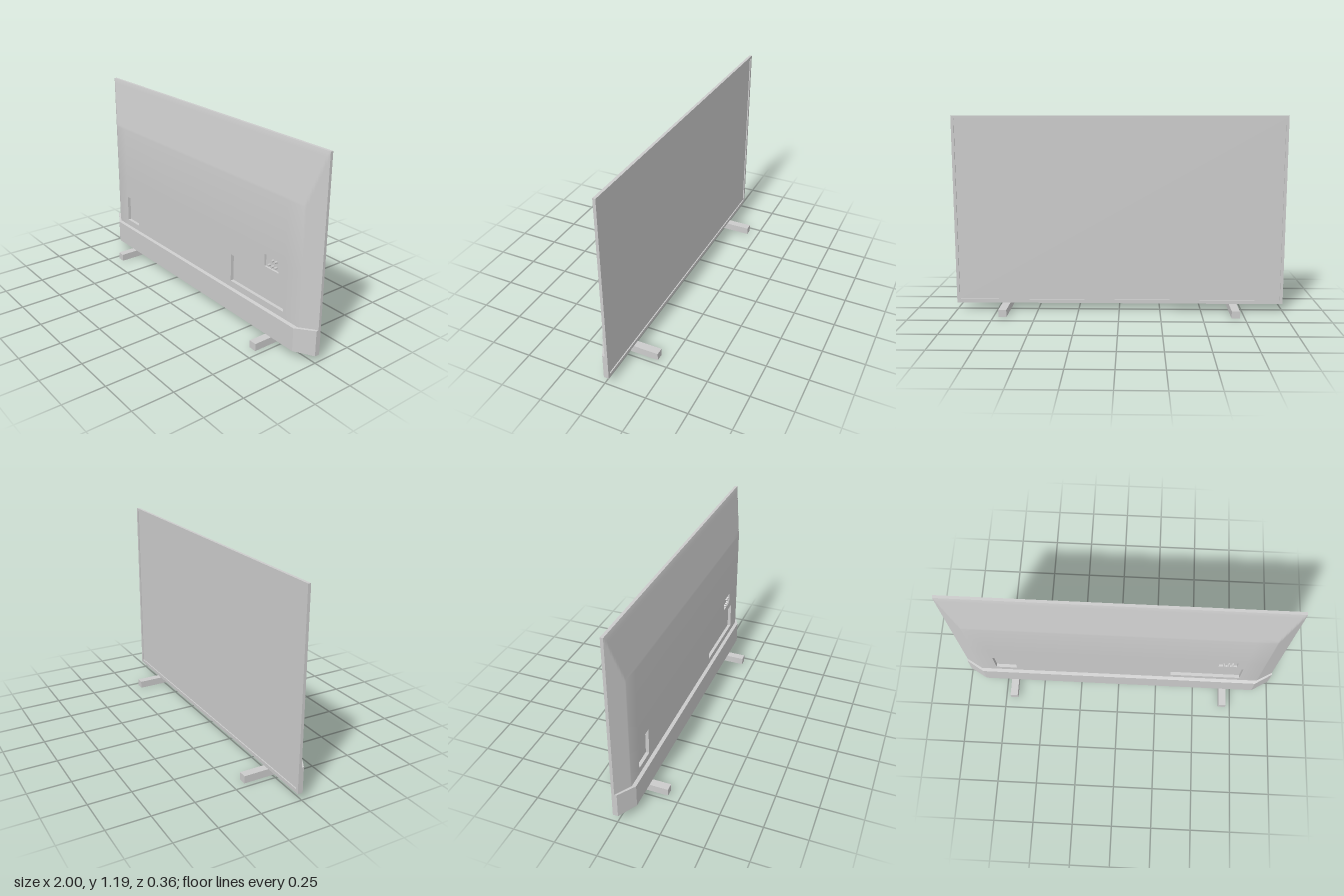
import * as THREE from 'three';
import { toCreasedNormals } from 'three/addons/utils/BufferGeometryUtils.js';

const BOTTOM = 0.045, TOP = 1.19, RIM = -0.01, FACE = -0.027, BACK = 0.046;

// Pockets pressed into the rear shell: x range, y range, floor z
const POCKETS = [
  { x: [-0.797, -0.663], y: [0.232, 0.402], z: 0.026 },
  { x: [0.335, 0.782], y: [0.232, 0.402], z: 0.026 },
  { x: [0.622, 0.735], y: [0.445, 0.518], z: 0.034 },
];

// Rear shell depth: flat middle, tapered sides and top
function shellDepth(x, y) {
  for (const p of POCKETS) {
    if (x > p.x[0] && x < p.x[1] && y > p.y[0] && y < p.y[1]) return p.z;
  }
  const side = RIM + (1 - Math.abs(x)) * 0.56;
  const slope = BACK - (y - 0.885) * 0.178;
  const lip = RIM + (TOP - y) * 0.28;
  return Math.max(RIM, Math.min(BACK, side, slope, lip));
}

// Grid lines, doubled at each pocket edge to make steep walls
function stations(base, axis) {
  const e = 0.0005;
  const edges = POCKETS.flatMap((p) => p[axis].flatMap((v) => [v - e, v + e]));
  return [...new Set([...base, ...edges])].sort((a, b) => a - b);
}

function rearShellGeometry() {
  const xs = [0], ys = [0.17];
  for (let i = 0; i <= 16; i++) {
    const x = 1 - i * 0.00625;
    xs.push(x, -x);
  }
  for (let i = 0; i <= 24; i++) ys.push(0.885 + ((TOP - 0.885) * i) / 24);
  const gx = stations(xs, 'x'), gy = stations(ys, 'y');
  const pos = [], idx = [], n = gx.length;
  for (const y of gy) for (const x of gx) pos.push(x, y, shellDepth(x, y));
  for (let j = 0; j < gy.length - 1; j++) {
    for (let i = 0; i < n - 1; i++) {
      const a = j * n + i, d = a + n;
      idx.push(a, a + 1, d, a + 1, d + 1, d);
    }
  }
  const g = new THREE.BufferGeometry();
  g.setAttribute('position', new THREE.Float32BufferAttribute(pos, 3));
  g.setIndex(idx);
  return toCreasedNormals(g, 0.6);
}

function rectPath(Type, x, y0, y1) {
  return new Type([[-x, y0], [x, y0], [x, y1], [-x, y1]].map((p) => new THREE.Vector2(...p)));
}

// Thin frame around the screen
function bezelGeometry() {
  const shape = rectPath(THREE.Shape, 1, BOTTOM, TOP);
  shape.holes.push(rectPath(THREE.Path, 0.983, BOTTOM + 0.022, TOP - 0.017));
  const g = new THREE.ExtrudeGeometry(shape, { depth: RIM - FACE, bevelEnabled: false });
  return g.translate(0, 0, FACE);
}

// Lower rear housing: plan outline raised in y, top edge falling towards the rear
function housingGeometry() {
  const plan = [[-1, RIM], [-1, 0.004], [-0.89, 0.067], [0.89, 0.067], [1, 0.004], [1, RIM]];
  const shape = new THREE.Shape(plan.map(([x, z]) => new THREE.Vector2(x, -z)));
  const g = new THREE.ExtrudeGeometry(shape, { depth: 1, bevelEnabled: false });
  g.rotateX(-Math.PI / 2);
  const p = g.attributes.position;
  for (let i = 0; i < p.count; i++) {
    const top = 0.2 - 0.012 * THREE.MathUtils.clamp((p.getZ(i) - 0.004) / 0.063, 0, 1);
    p.setY(i, p.getY(i) > 0.5 ? top : BOTTOM);
  }
  g.computeVertexNormals();
  return toCreasedNormals(g, 0.3);
}

export function createModel() {
  const model = new THREE.Group();
  model.name = 'television';
  const material = new THREE.MeshStandardMaterial({ color: 0xcccccc });
  const add = (name, geometry, x = 0, y = 0, z = 0) => {
    const mesh = new THREE.Mesh(geometry, material);
    mesh.name = name;
    mesh.position.set(x, y, z);
    model.add(mesh);
  };

  add('rearShell', rearShellGeometry());
  add('lowerHousing', housingGeometry());
  add('bezel', bezelGeometry());
  add('screen', new THREE.BoxGeometry(1.97, TOP - BOTTOM - 0.034, 0.008), 0, (TOP + BOTTOM) / 2, -0.016);

  // Sockets in the small pocket
  const socket = new THREE.CylinderGeometry(0.007, 0.007, 0.02, 16).rotateX(Math.PI / 2);
  for (const [x, y] of [[0.682, 0.498], [0.706, 0.498], [0.655, 0.463], [0.682, 0.463], [0.706, 0.463]]) {
    add('socket', socket, x, y, 0.042);
  }

  // Stand feet
  const foot = new THREE.BoxGeometry(0.048, BOTTOM, 0.36);
  add('leftFoot', foot, 0.695, BOTTOM / 2, 0);
  add('rightFoot', foot, -0.695, BOTTOM / 2, 0);
  return model;
}
